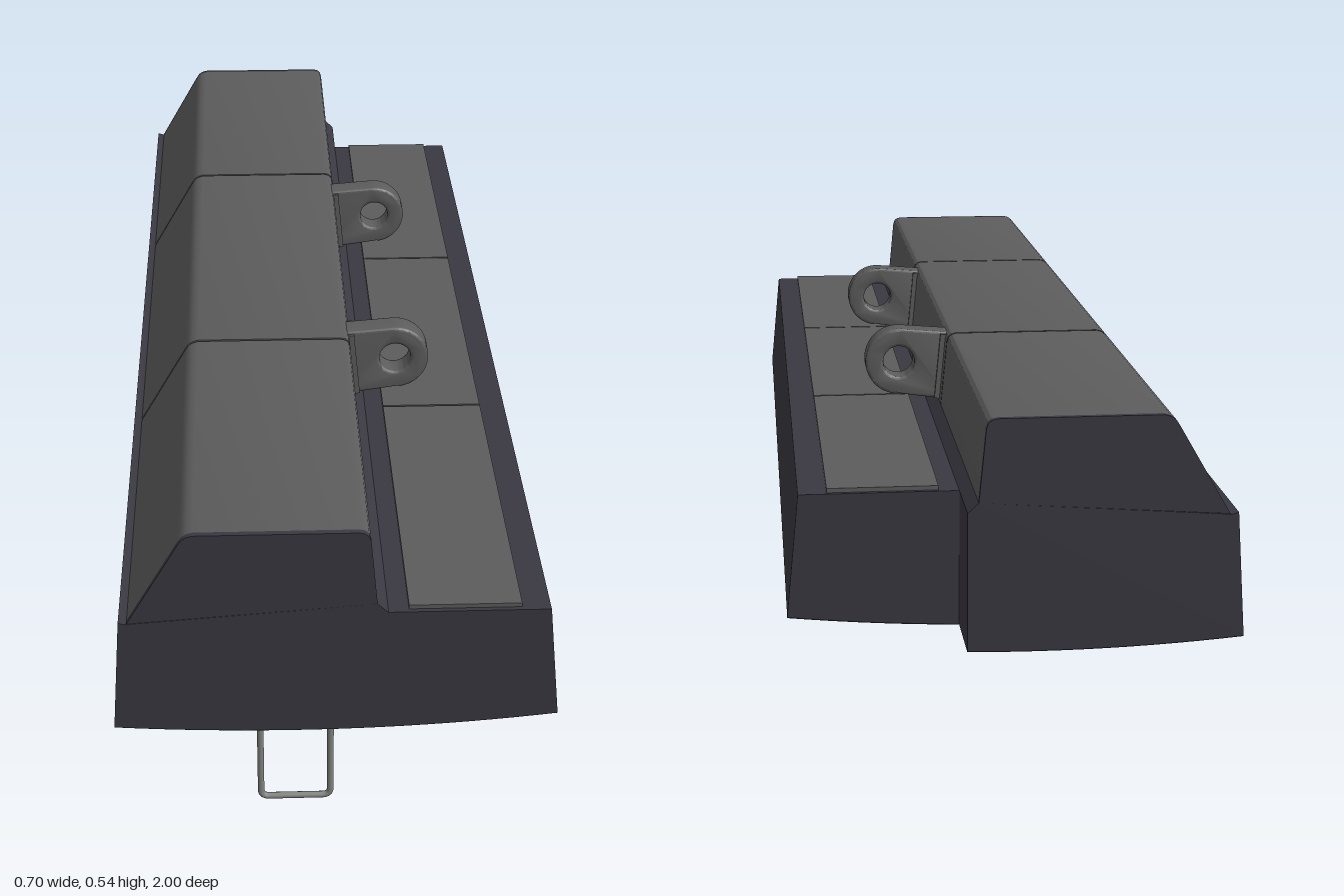
import * as THREE from 'three';
import { toCreasedNormals } from 'three/addons/utils/BufferGeometryUtils.js';

const material = (name, color) => {
  const m = new THREE.MeshStandardMaterial({ color });
  m.name = name;
  return m;
};

export function createModel() {
  const model = new THREE.Group();
  model.name = 'housing';
  const dark = material('dark body', 0x3a3841);
  const grey = material('grey cover', 0x5c5c5c);
  const black = material('black underside', 0x1e1e20);
  const disc = material('underside fitting grey', 0x484849);
  const steel = material('steel wire', 0x80837f);

  const add = (name, geometry, mat, parent = model) => {
    const mesh = new THREE.Mesh(geometry, mat);
    mesh.name = name;
    parent.add(mesh);
    return mesh;
  };
  const shapeOf = pts => new THREE.Shape(pts.map(p => new THREE.Vector2(p[0], p[1])));
  // Prism with an x-y profile running from z0 to z1
  const prism = (name, pts, z0, z1, mat) => {
    const g = new THREE.ExtrudeGeometry(shapeOf(pts), { depth: z1 - z0, bevelEnabled: false });
    g.translate(0, 0, z0);
    return add(name, toCreasedNormals(g, 0.4), mat);
  };

  // Shallow curve of the underside
  const bottomY = x => 0.168 + 0.142 * (x + 0.05) ** 2 - 0.006 * Math.min(x, 0) * (x < 0 ? 0 : 1);
  const bottom = (x0, x1, n, dy = 0) => Array.from({ length: n + 1 }, (_, i) => {
    const x = x0 + (x1 - x0) * i / n;
    return [x, bottomY(x) + dy];
  });

  // Upper outline of the cover, left foot to right foot
  const crown = [
    [-0.325, 0.378], [-0.243, 0.519], [-0.237, 0.528], [-0.23, 0.533], [-0.22, 0.536],
    [0.032, 0.536], [0.041, 0.534], [0.047, 0.529], [0.05, 0.52], [0.061, 0.406],
  ];
  const leftWall = [[-0.338, 0.38], [-0.328, 0.377]];

  // Lower body: long front part with the ledge, short narrower rear part
  const foot = [[0.061, 0.406], [0.078, 0.39]];
  prism('body', [...bottom(-0.352, 0.35, 20), [0.33, 0.39], ...foot.slice().reverse(),
    ...leftWall.slice().reverse()], -0.875, 1, dark);
  prism('rearBody', [...bottom(-0.352, 0.078, 12), ...foot.slice().reverse(),
    ...leftWall.slice().reverse()], -1, -0.875, dark);

  // Inner core seen in the cover seams, and flush end plates
  const core = crown.map(([x, y]) => [-0.12 + (x + 0.12) * 0.98, 0.375 + (y - 0.375) * 0.975]);
  prism('coverCore', core, -0.99, 0.99, dark);
  prism('frontEndPlate', crown, 0.99, 1, dark);
  prism('rearEndPlate', crown, -1, -0.99, dark);

  // Three cover sections
  [[-0.99, -0.376], [-0.371, 0.367], [0.372, 0.99]].forEach(([a, b], i) =>
    prism('coverSection' + (i + 1), crown, a, b, grey));

  // Three ledge panels
  [[-0.868, -0.252], [-0.248, 0.368], [0.372, 0.992]].forEach(([a, b], i) => {
    const panel = add('ledgePanel' + (i + 1), new THREE.BoxGeometry(0.175, 0.008, b - a), grey);
    panel.position.set(0.1975, 0.393, (a + b) / 2);
  });

  // Pierced lugs on the side of the cover
  const lug = new THREE.Shape();
  const bevel = 0.005;
  lug.moveTo(0.045, 0.413);
  lug.lineTo(0.066, 0.413);
  lug.lineTo(0.137, 0.422);
  lug.absarc(0.133, 0.477, 0.055, -Math.PI / 2 + 0.07, Math.PI / 2 + 0.07, false);
  lug.lineTo(0.045, 0.525);
  const eye = new THREE.Path();
  eye.absarc(0.133, 0.477, 0.028 + bevel, 0, Math.PI * 2, true);
  lug.holes.push(eye);
  const lugGeometry = new THREE.ExtrudeGeometry(lug, {
    depth: 0.038, bevelThickness: bevel, bevelSize: bevel, bevelSegments: 3, curveSegments: 24,
  });
  lugGeometry.translate(0, 0, -0.019);
  const smoothLug = toCreasedNormals(lugGeometry, 0.7);
  for (const z of [-0.313, 0.313]) {
    const group = new THREE.Group();
    group.name = 'lug';
    group.position.z = z;
    add('lugPlate', smoothLug, grey, group);
    const root = add('lugRoot', new THREE.BoxGeometry(0.012, 0.118, 0.06), grey, group);
    root.position.set(0.058, 0.468, 0);
    root.rotation.z = 0.096;
    model.add(group);
  }

  // Black skin following the curved underside
  const skin = (name, x1, n, z0, z1) => prism(name,
    [...bottom(-0.352, x1, n, -0.002), ...bottom(-0.352, x1, n, 0.001).reverse()], z0, z1, black);
  skin('underside', 0.35, 20, -0.875, 0.999);
  skin('rearUnderside', 0.078, 12, -0.999, -0.875);

  // Round fittings and small screws under the body
  const spot = (name, x, z, r, drop, mat) => {
    const m = add(name, new THREE.CylinderGeometry(r, r, 0.004, 24), mat);
    m.position.set(x, bottomY(x) - drop, z);
    m.rotation.z = Math.atan(0.284 * (x + 0.05));
  };
  for (const z of [0.59, 0.28, -0.03, -0.66]) {
    spot('fittingRim', -0.065, z, 0.048, 0.002, disc);
    spot('fittingRing', -0.065, z, 0.026, 0.0028, black);
    spot('fittingCentre', -0.065, z, 0.018, 0.0034, disc);
  }
  for (const [x, z] of [[-0.065, 0.82], [-0.065, 0.1], [-0.065, -0.89],
    [-0.32, 0.96], [0.32, 0.96], [-0.32, -0.96], [0.32, -0.84]]) {
    spot('screw', x, z, 0.009, 0.002, disc);
  }

  // Wire loops hanging below
  const wire = new THREE.CurvePath();
  const v = (x, y) => new THREE.Vector3(x, y, 0);
  const L = -0.122, R = -0.009, B = 0.0055, c = 0.013;
  wire.add(new THREE.LineCurve3(v(L, 0.18), v(L, B + c)));
  wire.add(new THREE.QuadraticBezierCurve3(v(L, B + c), v(L, B), v(L + c, B)));
  wire.add(new THREE.LineCurve3(v(L + c, B), v(R - c, B)));
  wire.add(new THREE.QuadraticBezierCurve3(v(R - c, B), v(R, B), v(R, B + c)));
  wire.add(new THREE.LineCurve3(v(R, B + c), v(R, 0.18)));
  const wireGeometry = new THREE.TubeGeometry(wire, 120, 0.0055, 10, false);
  for (const z of [0.965, -0.515]) add('wireLoop', wireGeometry, steel).position.z = z;

  return model;
}
